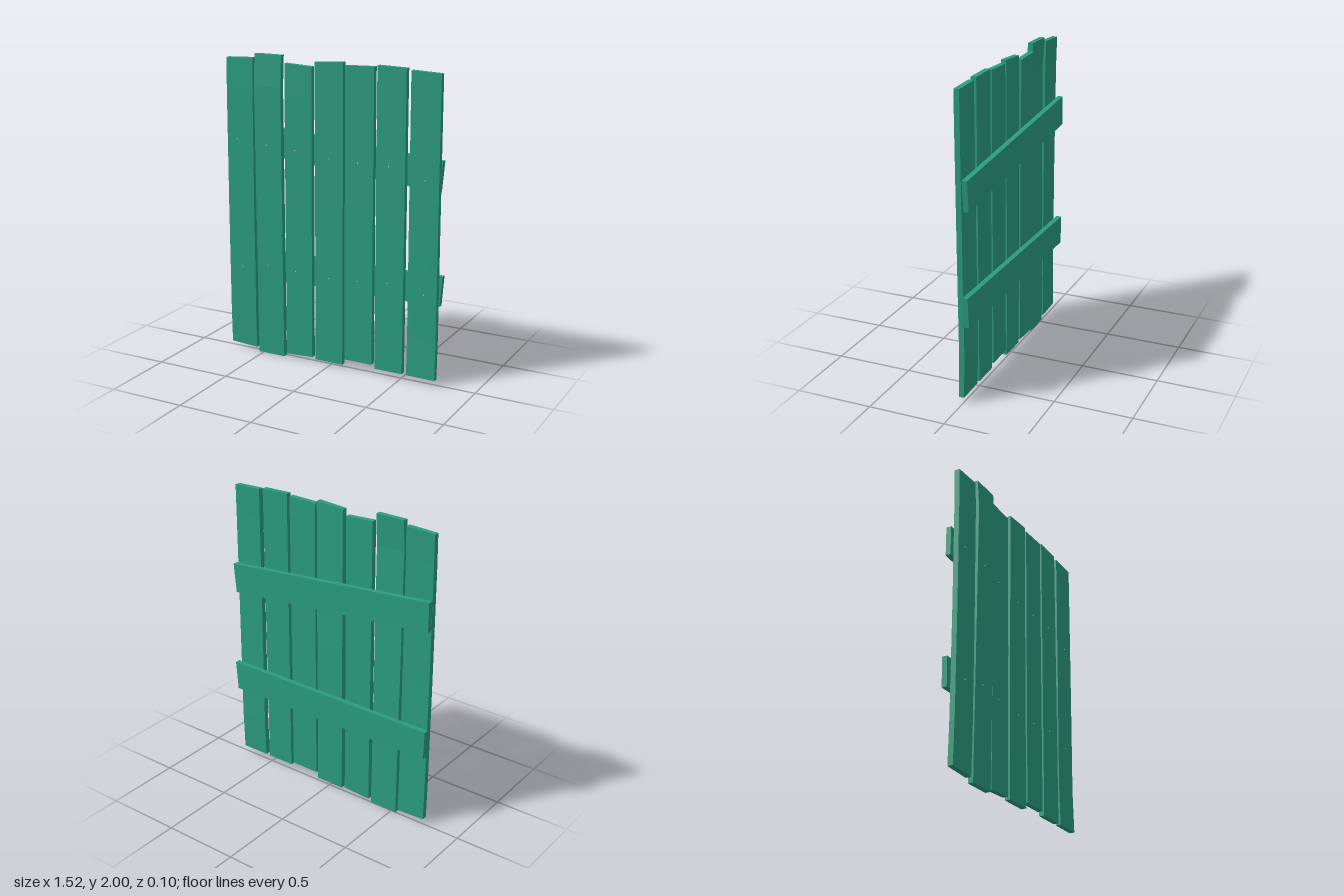
import * as THREE from 'three';

const paint = new THREE.MeshStandardMaterial({ color: 0x2a9d7c, flatShading: true });
const steel = new THREE.MeshStandardMaterial({ color: 0xcccccc });

const THICK = 0.035;
const LEVELS = [0, 0.14, 0.5, 0.9, 1]; // heights along a plank where it may bow

// Each plank: left/right x, bottom and top heights at both edges, z of the centre at each level
const PLANKS = [
  { x: [-0.745, -0.552], bottom: [0.037, 0.027], top: [1.965, 1.972], bow: [0.014, 0.019, 0.02, 0.016, 0.011] },
  { x: [-0.533, -0.34], bottom: [0, 0], top: [2, 2], bow: [0.016, 0.018, 0.023, 0.028, 0.015] },
  { x: [-0.322, -0.13], bottom: [0.022, 0.032], top: [1.95, 1.94], bow: [0.011, 0.011, 0.01, 0.007, 0.005] },
  { x: [-0.105, 0.092], bottom: [0.022, 0.022], top: [1.973, 1.985], bow: [0.011, 0.01, 0.009, 0.01, 0.011] },
  { x: [0.107, 0.302], bottom: [0.062, 0.062], top: [1.965, 1.97], bow: [0.011, 0.011, 0.011, 0.011, 0.011] },
  { x: [0.323, 0.515], bottom: [0.04, 0.04], top: [1.98, 1.975], bow: [0.011, 0.011, 0.011, 0.011, 0.011] },
  { x: [0.545, 0.738], bottom: [0.04, 0.038], top: [1.965, 1.957], bow: [0.011, 0.004, 0.008, 0.011, 0.011] },
];

// Nail x and heights on the upper and lower rail, one pair per plank
const NAILS = [
  [[-0.672, 1.443], [-0.646, 0.584]],
  [[-0.45, 1.422], [-0.45, 0.621]],
  [[-0.249, 1.406], [-0.249, 0.605]],
  [[-0.005, 1.377], [-0.005, 0.594]],
  [[0.196, 1.371], [0.196, 0.607]],
  [[0.407, 1.371], [0.407, 0.626]],
  [[0.646, 1.31], [0.651, 0.589]],
];

const lerp = THREE.MathUtils.lerp;

// Centre depth of a plank at fraction t of its height
function bowAt(plank, t) {
  let i = 0;
  while (i < LEVELS.length - 2 && t > LEVELS[i + 1]) i++;
  return lerp(plank.bow[i], plank.bow[i + 1], (t - LEVELS[i]) / (LEVELS[i + 1] - LEVELS[i]));
}

// A board with uneven ends, gently bowed along its height
function plankGeometry(plank) {
  const geometry = new THREE.BoxGeometry(1, 1, THICK, 1, LEVELS.length - 1, 1);
  const p = geometry.attributes.position;
  for (let i = 0; i < p.count; i++) {
    const side = p.getX(i) < 0 ? 0 : 1;
    const level = Math.round((p.getY(i) + 0.5) * (LEVELS.length - 1));
    const y = lerp(plank.bottom[side], plank.top[side], LEVELS[level]);
    p.setXYZ(i, plank.x[side], y, p.getZ(i) + plank.bow[level]);
  }
  geometry.computeVertexNormals();
  return geometry;
}

// A cross rail from its four corners, extruded through its thickness
function makeRail(name, corners) {
  const shape = new THREE.Shape(corners.map(([x, y]) => new THREE.Vector2(x, y)));
  const rail = new THREE.Mesh(new THREE.ExtrudeGeometry(shape, { depth: 0.034, bevelEnabled: false }), paint);
  rail.position.z = -0.049;
  rail.name = name;
  return rail;
}

export function createModel() {
  const group = new THREE.Group();
  group.name = 'plankPanel';

  // Upright planks
  PLANKS.forEach((plank, i) => {
    const mesh = new THREE.Mesh(plankGeometry(plank), paint);
    mesh.name = `plank${i + 1}`;
    group.add(mesh);
  });

  // Rails across the back, the upper one sloping
  group.add(makeRail('upperRail', [[-0.753, 1.37], [0.725, 1.235], [0.743, 1.43], [-0.753, 1.562]]));
  group.add(makeRail('lowerRail', [[-0.755, 0.51], [0.742, 0.515], [0.757, 0.71], [-0.76, 0.7]]));

  // Nails running from the rails to just proud of the plank fronts
  const nailGeometry = new THREE.CylinderGeometry(0.004, 0.004, 1, 8).rotateX(Math.PI / 2);
  NAILS.forEach((pair, i) => pair.forEach(([x, y]) => {
    const back = -0.03;
    const front = bowAt(PLANKS[i], y / 2) + THICK / 2 + 0.004;
    const nail = new THREE.Mesh(nailGeometry, steel);
    nail.name = 'nail';
    nail.scale.z = front - back;
    nail.position.set(x, y, (front + back) / 2);
    group.add(nail);
  }));

  return group;
}
